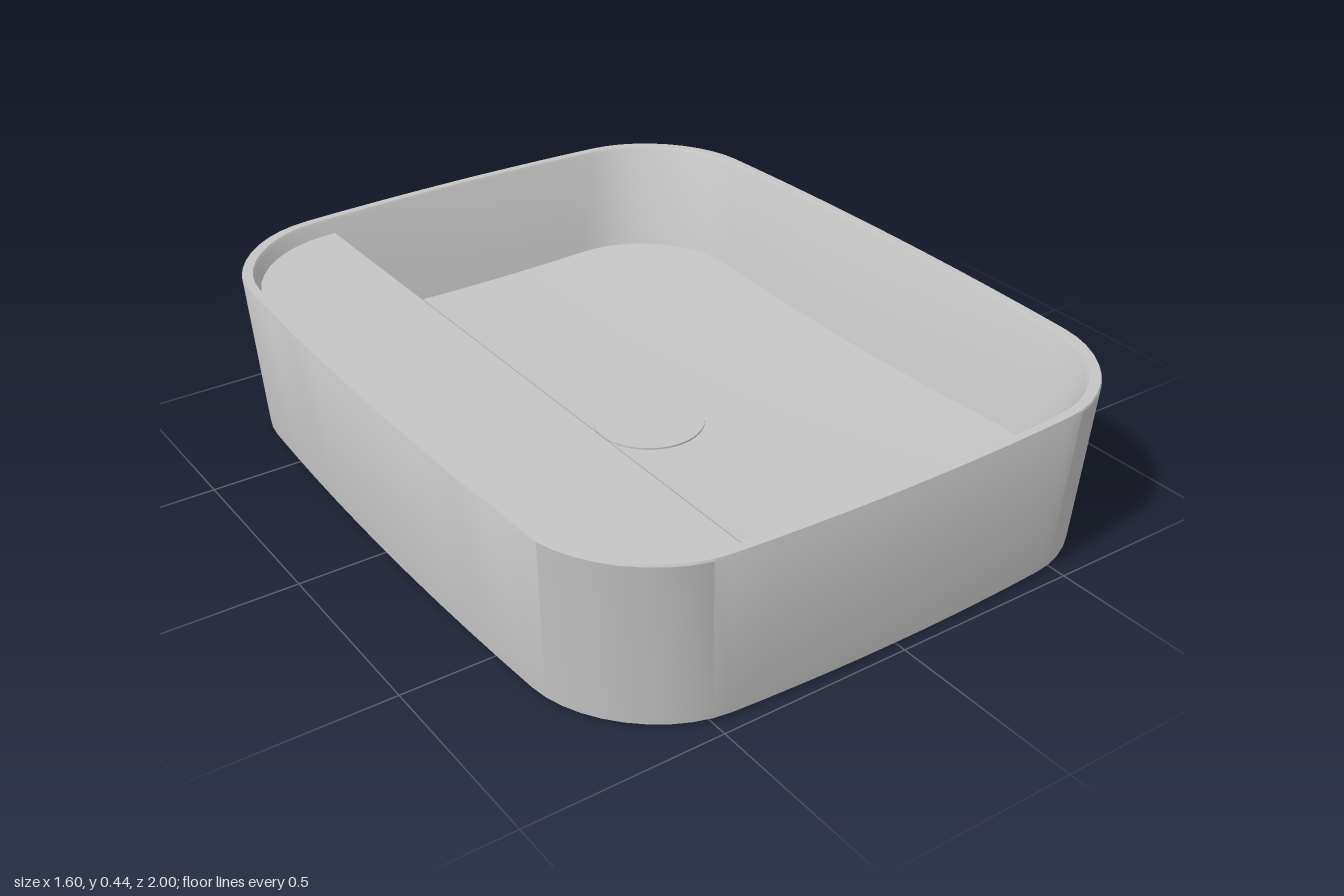
import * as THREE from 'three';
import { toCreasedNormals } from 'three/addons/utils/BufferGeometryUtils.js';

const HEIGHT = 0.435;
const LEDGE = 0.395;

// Rounded rectangle with gently bowed sides, as [x, z] points.
function outline(a, b, r, bow) {
  const pts = [];
  const corners = [[1, 1], [-1, 1], [-1, -1], [1, -1]];
  corners.forEach(([sx, sz], q) => {
    const cx = sx * (a - r), cz = sz * (b - r);
    for (let i = 0; i <= 10; i++) {
      const t = (q + i / 10) * Math.PI / 2;
      pts.push([cx + r * Math.cos(t), cz + r * Math.sin(t)]);
    }
    // subdivide the straight side so that it can bow
    const [ex, ez] = pts[pts.length - 1];
    const [nx, nz] = corners[(q + 1) % 4];
    const next = q % 2 === 0 ? [nx * (a - r), ez] : [ex, nz * (b - r)];
    for (let i = 1; i < 10; i++) {
      const k = i / 10;
      pts.push([ex + (next[0] - ex) * k, ez + (next[1] - ez) * k]);
    }
  });
  return pts.map(([x, z]) => [
    x * (1 - bow * (z / b) ** 2 / a),
    z * (1 - bow * (x / a) ** 2 / b),
  ]);
}

// Skin a list of rings, each an array of [x, y, z].
function loft(rings) {
  const n = rings[0].length, index = [];
  for (let i = 0; i < rings.length - 1; i++) {
    for (let j = 0; j < n; j++) {
      const k = (j + 1) % n;
      const a = i * n + j, b = (i + 1) * n + j, c = (i + 1) * n + k, d = i * n + k;
      index.push(a, b, c, a, c, d);
    }
  }
  const geo = new THREE.BufferGeometry();
  geo.setAttribute('position', new THREE.Float32BufferAttribute(rings.flat(2), 3));
  geo.setIndex(index);
  return toCreasedNormals(geo, 0.5);
}

const ring = (a, b, r, bow, y) => outline(a, b, r, bow).map(([x, z]) => [x, y, z]);
const floorHeight = (x, z) => 0.109 + 0.055 * (x * x + z * z);

export function createModel() {
  const model = new THREE.Group();
  const ceramic = new THREE.MeshStandardMaterial({ color: 0xc4c4c4 });
  ceramic.name = 'grey ceramic';
  const add = (name, geo) => {
    const mesh = new THREE.Mesh(geo, ceramic);
    mesh.name = name;
    model.add(mesh);
    return mesh;
  };

  // Outside: underside, tapered wall and thin rim
  const base = ring(0.768, 0.968, 0.3, 0.04, 0);
  add('outerShell', loft([
    base.map(() => [0, 0, 0]),
    base,
    ring(0.775, 0.975, 0.3, 0.04, 0.008),
    ring(0.799, 0.999, 0.3, 0.04, HEIGHT - 0.005),
    ring(0.797, 0.997, 0.3, 0.04, HEIGHT),
    ring(0.775, 0.975, 0.29, 0.04, HEIGHT),
  ]));

  // Inside: sloping bowl wall down to the floor edge
  const edge = outline(0.68, 0.88, 0.31, 0.005);
  add('bowlWall', loft([
    ring(0.775, 0.975, 0.29, 0.04, HEIGHT),
    ring(0.77, 0.97, 0.29, 0.04, HEIGHT - 0.008),
    edge.map(([x, z]) => [x, floorHeight(x, z), z]),
  ]));

  // Dished floor falling towards the drain
  const floorRings = [];
  for (let i = 0; i <= 10; i++) {
    const s = 1 - i / 10;
    floorRings.push(edge.map(([x, z]) => [x * s, floorHeight(x * s, z * s), z * s]));
  }
  add('bowlFloor', loft(floorRings));

  // Side ledge: the inner outline cut off by a slightly sloping front face
  const cut = (limit, y) =>
    outline(0.767, 0.967, 0.29, 0.04).map(([x, z]) => [Math.min(x, limit), y, z]);
  const top = cut(-0.405, LEDGE);
  add('sideLedge', loft([
    cut(-0.378, 0.1),
    cut(-0.395, LEDGE - 0.014),
    cut(-0.398, LEDGE - 0.005),
    top,
    top.map(() => [-0.58, LEDGE, 0]),
  ]));

  // Drain cover
  const drain = add('drainCover', new THREE.CylinderGeometry(0.145, 0.145, 0.02, 48));
  drain.position.y = 0.105;

  return model;
}
